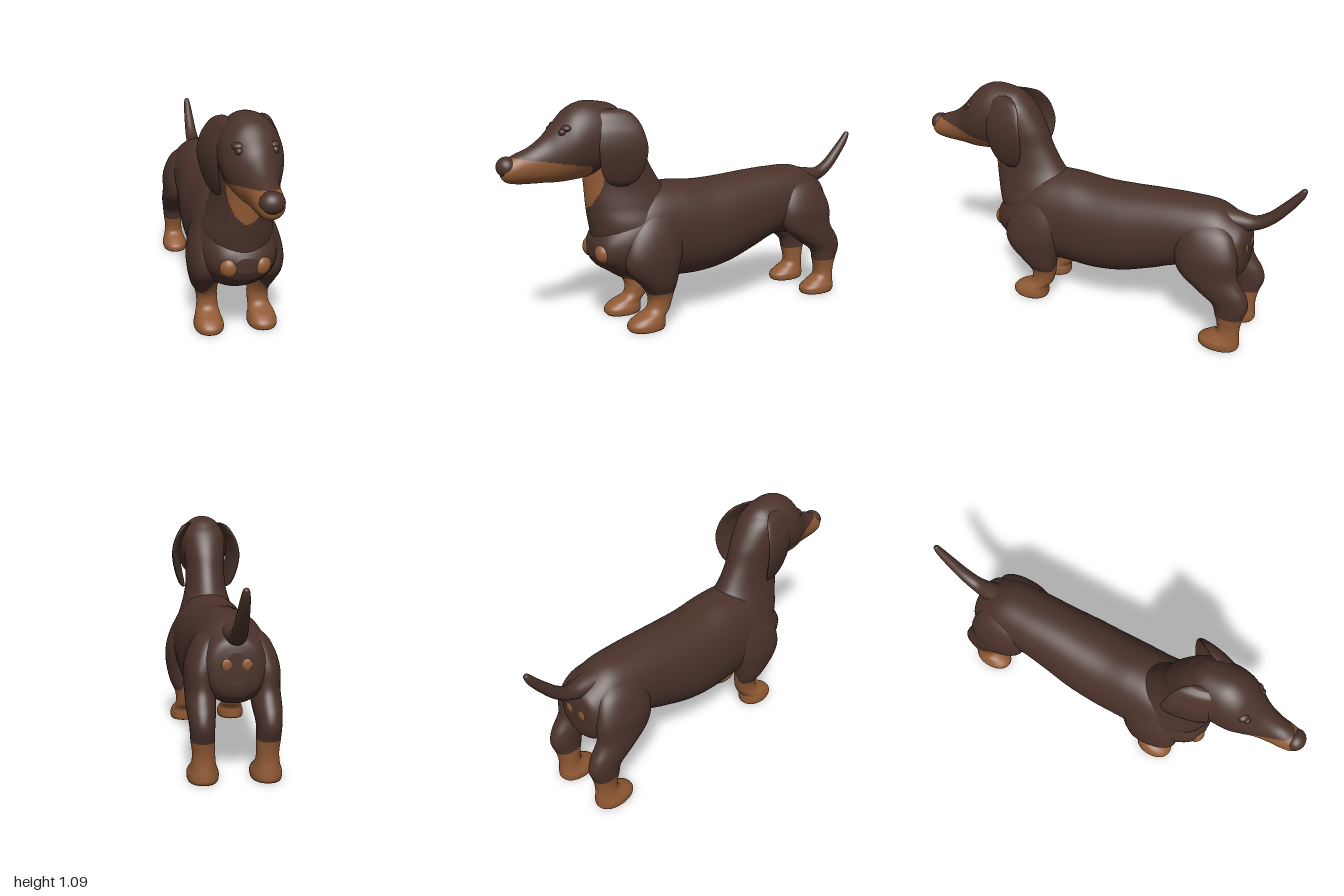
import * as THREE from 'three';

const UP = -Math.PI / 2; // tilt for sections stacked upwards

// Catmull-Rom blend of one column through neighbouring sections
function blend(a, b, c, d, t) {
  return 0.5 * (2 * b + (c - a) * t + (2 * a - 5 * b + 4 * c - d) * t * t + (3 * b - a - 3 * c + d) * t * t * t);
}

// Smooth closed loft through oval sections [x, y, z, radiusX, radiusOther, tilt].
// isTan(x, y, z) picks the second material for a face; warp moves a point.
function loft(sections, { tilt = 0, sides = 64, steps = 10, power = 2, isTan = () => false, warp = null } = {}) {
  const pos = [], n = sections.length, at = (i) => sections[Math.min(n - 1, Math.max(0, i))];
  const rows = (n - 1) * steps;
  const value = (r, k) => {
    const i = Math.min(n - 2, Math.floor(r / steps)), t = r / steps - i;
    return blend(at(i - 1)[k], at(i)[k], at(i + 1)[k], at(i + 2)[k], t);
  };
  const push = (x, y, z) => {
    const p = new THREE.Vector3(x, y, z);
    if (warp) warp(p);
    pos.push(p.x, p.y, p.z);
  };
  const round = (v) => Math.sign(v) * Math.pow(Math.abs(v), 2 / power);
  for (let r = 0; r <= rows; r++) {
    const [x, y, z, rx, ro] = [0, 1, 2, 3, 4].map((k) => value(r, k));
    const t = sections[0].length > 5 ? value(r, 5) : tilt;
    for (let j = 0; j < sides; j++) {
      const a = (j / sides) * Math.PI * 2, o = Math.max(ro, 0.001) * round(Math.sin(a));
      push(x + Math.max(rx, 0.001) * round(Math.cos(a)), y + o * Math.cos(t), z + o * Math.sin(t));
    }
  }
  const first = pos.length / 3;
  push(...sections[0].slice(0, 3));
  push(...sections[n - 1].slice(0, 3));
  const faces = [[], []];
  const face = (a, b, c) => {
    const m = [0, 1, 2].map((k) => (pos[a * 3 + k] + pos[b * 3 + k] + pos[c * 3 + k]) / 3);
    faces[isTan(...m) ? 1 : 0].push(a, b, c);
  };
  for (let j = 0; j < sides; j++) {
    const k = (j + 1) % sides, e = rows * sides;
    for (let r = 0; r < rows; r++) {
      const p = r * sides, q = p + sides;
      face(p + j, p + k, q + k);
      face(p + j, q + k, q + j);
    }
    face(first, k, j);
    face(first + 1, e + j, e + k);
  }
  const g = new THREE.BufferGeometry();
  g.setAttribute('position', new THREE.Float32BufferAttribute(pos, 3));
  g.setIndex([...faces[0], ...faces[1]]);
  g.addGroup(0, faces[0].length, 0);
  if (faces[1].length) g.addGroup(faces[0].length, faces[1].length, 1);
  g.computeVertexNormals();
  return g;
}

export function createModel() {
  const model = new THREE.Group();
  model.name = 'dog';
  const coat = new THREE.MeshStandardMaterial({ color: 0x4a322a });
  coat.name = 'darkCoat';
  const tan = new THREE.MeshStandardMaterial({ color: 0x915a34 });
  tan.name = 'tanMarkings';
  const add = (name, geometry, material = [coat, tan]) => {
    const mesh = new THREE.Mesh(geometry, material);
    mesh.name = name;
    model.add(mesh);
    return mesh;
  };
  const ball = (name, material, p, s) => {
    const mesh = add(name, new THREE.SphereGeometry(1, 32, 20), material);
    mesh.position.set(...p);
    mesh.scale.set(...s);
    return mesh;
  };
  const legTan = (x, y) => y < Math.min(0.265, 0.175 + Math.max(0, 0.155 - Math.abs(x)) * 1.4);

  // Long trunk, rump to chest, with a tan patch between the front legs and two rump dots
  add('body', loft([
    [0, 0.48, -0.765, 0.05, 0.07], [0, 0.48, -0.75, 0.11, 0.12], [0, 0.48, -0.7, 0.14, 0.155],
    [0, 0.5, -0.6, 0.155, 0.185], [0, 0.51, -0.45, 0.16, 0.18], [0, 0.48, -0.3, 0.17, 0.205],
    [0, 0.45, -0.15, 0.185, 0.225], [0, 0.437, 0, 0.19, 0.235], [0, 0.445, 0.15, 0.19, 0.24],
    [0, 0.44, 0.3, 0.19, 0.235], [0, 0.42, 0.42, 0.18, 0.185], [0, 0.41, 0.5, 0.15, 0.125],
    [0, 0.4, 0.55, 0.11, 0.08], [0, 0.4, 0.575, 0.05, 0.035],
  ], {
    sides: 96, power: 2.15,
    isTan: (x, y, z) => z > 0.2 && z < 0.45 && legTan(x, y),
  }));
  for (const s of [-1, 1]) ball('rumpDot', tan, [s * 0.042, 0.5, -0.763], [0.022, 0.024, 0.006]);

  // Neck rising from the chest, tan throat
  add('neck', loft([
    [0, 0.35, 0.33, 0.15, 0.21], [0, 0.5, 0.335, 0.172, 0.235], [0, 0.6, 0.365, 0.14, 0.222],
    [0, 0.7, 0.408, 0.112, 0.188], [0, 0.8, 0.44, 0.105, 0.163], [0, 0.9, 0.46, 0.11, 0.143],
    [0, 1.0, 0.49, 0.105, 0.113], [0, 1.06, 0.52, 0.07, 0.08],
  ], {
    tilt: UP, sides: 96, steps: 14,
    isTan: (x, y, z) => z > 0.48 && Math.hypot(x / 0.085, (y - 0.77) / 0.17) < 1,
  }));

  // Skull tapering into the muzzle, tan jaw and cheeks
  add('head', loft([
    [0, 0.965, 0.4, 0.06, 0.06], [0, 0.947, 0.45, 0.105, 0.122], [0, 0.93, 0.52, 0.128, 0.158],
    [0, 0.92, 0.6, 0.135, 0.172], [0, 0.902, 0.67, 0.128, 0.162], [0, 0.872, 0.73, 0.104, 0.135],
    [0, 0.845, 0.785, 0.08, 0.105], [0, 0.823, 0.85, 0.066, 0.081], [0, 0.813, 0.91, 0.061, 0.067],
    [0, 0.807, 0.955, 0.053, 0.052], [0, 0.806, 0.975, 0.04, 0.036], [0, 0.806, 0.982, 0.02, 0.015],
  ], {
    sides: 96,
    isTan: (x, y, z) => z > 0.59 && y < 0.815 + 0.17 * (z - 0.63),
  }));
  ball('nose', coat, [0, 0.825, 0.955], [0.052, 0.046, 0.045]);

  // Thin drooping ears, flared at the back edge
  for (const s of [-1, 1]) {
    add(s > 0 ? 'leftEar' : 'rightEar', loft([
      [s * 0.115, 0.708, 0.46, 0.006, 0.025], [s * 0.128, 0.735, 0.465, 0.013, 0.07],
      [s * 0.145, 0.8, 0.465, 0.016, 0.1], [s * 0.156, 0.88, 0.465, 0.017, 0.11],
      [s * 0.148, 0.95, 0.47, 0.018, 0.103], [s * 0.128, 1.0, 0.475, 0.018, 0.093],
      [s * 0.105, 1.04, 0.485, 0.018, 0.075], [s * 0.085, 1.057, 0.49, 0.01, 0.04],
    ], { tilt: UP, sides: 40, steps: 6, warp: (p) => { p.x += s * (0.46 - p.z) * 0.2; } }));

    // Eyes with a small brow
    ball('eye', coat, [s * 0.074, 0.967, 0.722], [0.017, 0.016, 0.018]);
    ball('brow', coat, [s * 0.07, 0.982, 0.7], [0.03, 0.018, 0.026]);

    // Round chest markings
    ball('chestSpot', tan, [s * 0.075, 0.39, 0.545], [0.043, 0.047, 0.036]).rotation.y = s * 0.4;

    // Front leg with shoulder and paw
    add('frontLeg', loft([
      [s * 0.13, 0, 0.352, 0.066, 0.088], [s * 0.13, 0.012, 0.354, 0.07, 0.095],
      [s * 0.13, 0.035, 0.352, 0.069, 0.094], [s * 0.13, 0.06, 0.335, 0.06, 0.08],
      [s * 0.126, 0.09, 0.292, 0.051, 0.06], [s * 0.125, 0.13, 0.277, 0.05, 0.06],
      [s * 0.13, 0.17, 0.277, 0.053, 0.07], [s * 0.14, 0.22, 0.29, 0.066, 0.092],
      [s * 0.15, 0.3, 0.32, 0.073, 0.135], [s * 0.15, 0.38, 0.32, 0.076, 0.15],
      [s * 0.128, 0.48, 0.3, 0.076, 0.14], [s * 0.1, 0.58, 0.27, 0.055, 0.1],
      [s * 0.08, 0.64, 0.26, 0.02, 0.04],
    ], { tilt: UP, power: 2.2, isTan: (x, y) => y > 0.003 && legTan(x, y) }));

    // Hind leg with thigh, hock and paw
    add('hindLeg', loft([
      [s * 0.135, 0, -0.69, 0.063, 0.093], [s * 0.135, 0.012, -0.69, 0.067, 0.1],
      [s * 0.135, 0.035, -0.692, 0.067, 0.098], [s * 0.135, 0.06, -0.708, 0.058, 0.08],
      [s * 0.135, 0.09, -0.73, 0.05, 0.056], [s * 0.135, 0.13, -0.733, 0.048, 0.056],
      [s * 0.138, 0.18, -0.732, 0.051, 0.068], [s * 0.14, 0.24, -0.73, 0.053, 0.088],
      [s * 0.14, 0.3, -0.682, 0.061, 0.122], [s * 0.138, 0.38, -0.61, 0.066, 0.145],
      [s * 0.133, 0.48, -0.595, 0.069, 0.15], [s * 0.1, 0.58, -0.585, 0.062, 0.12],
      [s * 0.07, 0.64, -0.575, 0.025, 0.05],
    ], { tilt: UP, power: 2.2, isTan: (x, y) => y > 0.003 && y < 0.18 }));
  }

  // Tail sweeping up to a narrow tip
  add('tail', loft([
    [0, 0.615, -0.6, 0.075, 0.06, -3.14], [0, 0.615, -0.7, 0.052, 0.046, -3.1],
    [0, 0.62, -0.78, 0.038, 0.034, -2.9], [0, 0.66, -0.85, 0.032, 0.029, -2.5],
    [0, 0.728, -0.915, 0.026, 0.025, -2.3], [0, 0.79, -0.965, 0.02, 0.02, -2.2],
    [0, 0.825, -0.986, 0.013, 0.013, -2.15], [0, 0.832, -0.99, 0.004, 0.004, -2.15],
  ], { sides: 32, steps: 8 }));

  return model;
}
